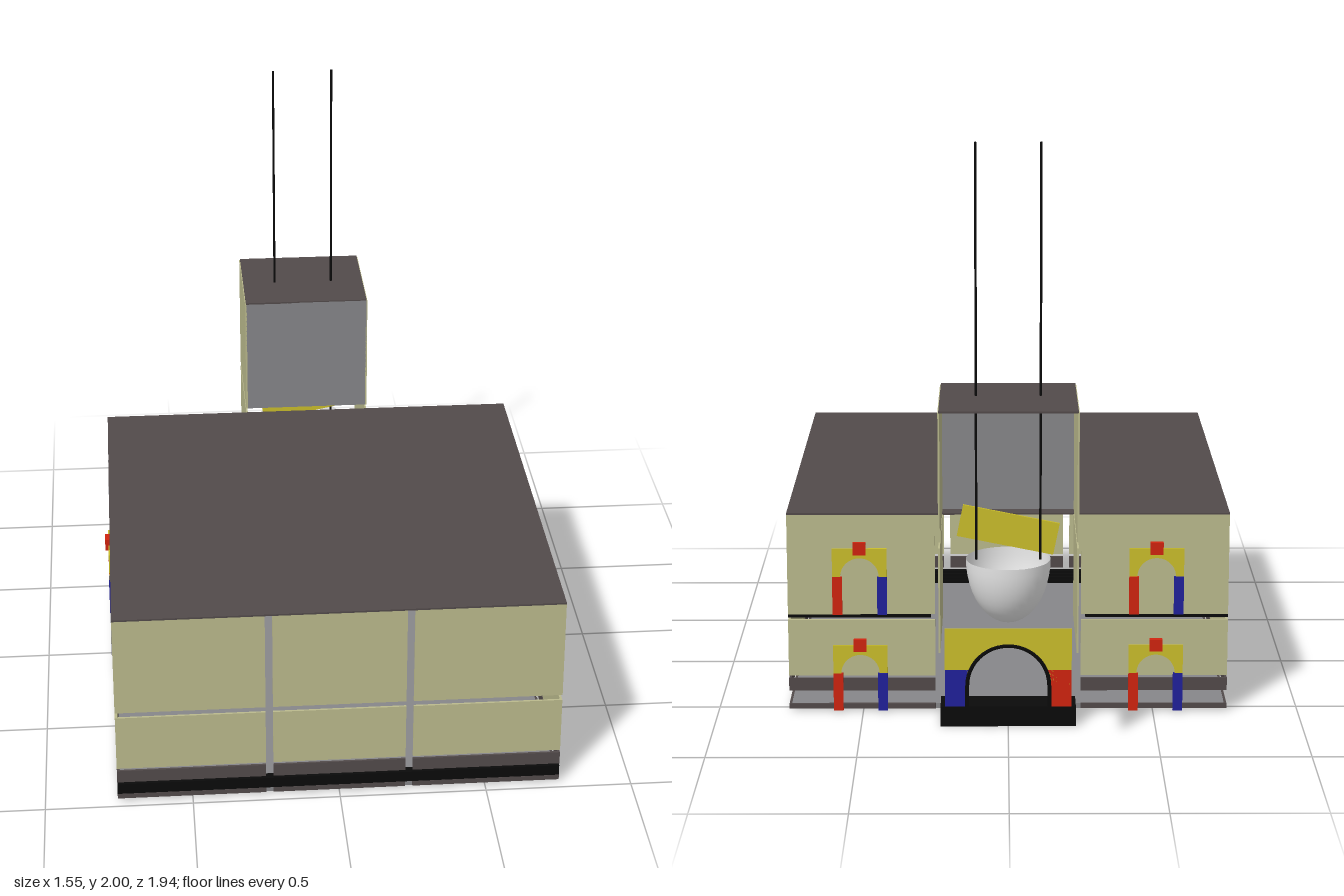
import * as THREE from 'three';

const mat = (name, color, side = THREE.FrontSide) =>
  Object.assign(new THREE.MeshStandardMaterial({ color, side }), { name });

export function createModel() {
  const root = new THREE.Group();
  root.name = 'building';
  const beige = mat('beige wall', 0xbab98c);
  const brown = mat('dark brown roof', 0x524a4a);
  const grey = mat('grey', 0x868689);
  const black = mat('black', 0x0a0a0a);
  const yellow = mat('yellow', 0xc9bd2b, THREE.DoubleSide);
  const red = mat('red', 0xd0240f);
  const blue = mat('blue', 0x20209a);
  const white = mat('white bowl', 0xeeeeee, THREE.DoubleSide);

  const add = (name, geo, material, parent = root) => {
    const m = new THREE.Mesh(geo, material);
    m.name = name;
    parent.add(m);
    return m;
  };
  // Box given by its limits on each axis
  const box = (name, material, x0, x1, y0, y1, z0, z1, parent = root) => {
    const m = add(name, new THREE.BoxGeometry(x1 - x0, y1 - y0, z1 - z0), material, parent);
    m.position.set((x0 + x1) / 2, (y0 + y1) / 2, (z0 + z1) / 2);
    return m;
  };

  const X = 0.755, ZF = 0.968, ZB = -0.545, T = 0.008;
  const xSpans = [[-X, -0.25], [-0.225, 0.225], [0.25, X]];
  const zSpans = [[0.47, ZF], [-0.01, 0.445], [ZB, -0.03]];
  // Horizontal bands that make up every wall
  const bands = [
    ['upperWall', beige, 0.35, 0.703],
    ['lowerWall', beige, 0.13, 0.33],
    ['plinth', brown, 0.075, 0.12],
    ['baseStrip', brown, 0.01, 0.028],
  ];
  for (const [name, m, y0, y1] of bands) {
    xSpans.forEach(([a, b], i) => {
      box(name + 'Front', m, a, b, y0, y1, ZF - T, ZF);
      if (i !== 1) box(name + 'Back', m, a, b, y0, y1, ZB, ZB + T);
    });
    for (const [a, b] of zSpans) {
      box(name + 'Left', m, X - T, X, y0, y1, a, b);
      box(name + 'Right', m, -X, -X + T, y0, y1, a, b);
    }
  }

  // Floor, hatch and roof
  box('floor', grey, -X + T, X - T, 0.008, 0.026, ZB + T, ZF - T);
  box('hatchFrame', beige, -0.24, 0.24, 0.004, 0.008, -0.03, 0.45);
  box('hatch', brown, -0.225, 0.225, 0.001, 0.004, -0.015, 0.435);
  box('roof', brown, -X, X, 0.703, 0.709, ZB, ZF);

  // Black steps behind the front base and at the entrance
  for (let i = 0; i < 4; i++) {
    box('frontStep', black, -X, X, 0.028, 0.066 - i * 0.009, 0.94 - i * 0.014, ZF - 0.001);
    box('entranceStep', black, -0.23, 0.23, 0, 0.07 - i * 0.016, -0.7, -0.59 + i * 0.016);
  }
  box('threshold', black, -0.23, 0.23, 0, 0.012, -0.6, -0.52);

  // Window strips on both side walls
  for (const s of [-1, 1])
    for (const [a, b] of [[0.56, 0.865], [-0.43, -0.125]]) {
      const x = s * (X + 0.001);
      box('window', grey, x - 0.002, x + 0.002, 0.515, 0.585, a, b);
    }

  // Black frames just behind the arched upper panels
  for (const s of [-1, 1]) {
    const xi = s * (X - 0.025);
    box('sideLedge', black, s * X - 0.007, s * X + 0.007, 0.34, 0.35, -0.02, 0.455);
    for (const z of [-0.01, 0.445])
      box('sideFrame', black, xi - 0.015, xi + 0.015, 0.35, 0.7, z - (z < 0 ? 0 : 0.012), z + (z < 0 ? 0.012 : 0));
    const [a, b] = s > 0 ? [0.265, X] : [-X, -0.265];
    box('backLedge', black, a, b, 0.34, 0.35, ZB - 0.004, ZB + 0.09);
    for (const x of [a, b - 0.012])
      box('backFrame', black, x, x + 0.012, 0.35, 0.7, ZB + T, ZB + 0.04);
  }

  // Arch plate with a half-round opening; y = 0 is the springing line
  const archShape = (w, h, r) => {
    const s = new THREE.Shape();
    s.moveTo(-w, 0).lineTo(-r, 0);
    s.absarc(0, 0, r, Math.PI, 0, true);
    s.lineTo(w, 0).lineTo(w, h).lineTo(-w, h).lineTo(-w, 0);
    return s;
  };
  // Small arch facing local +z; blueSide is the local x side of the blue pillar
  const arch = (x, y, z, turn, blueSide) => {
    const g = new THREE.Group();
    g.name = 'arch';
    const pillar = (m, s) =>
      box('pillar', m, Math.min(s * 0.06, s * 0.0935), Math.max(s * 0.06, s * 0.0935), 0, 0.135, 0, 0.009, g);
    pillar(blue, blueSide);
    pillar(red, -blueSide);
    add('archTop', new THREE.ExtrudeGeometry(archShape(0.0935, 0.1, 0.066),
      { depth: 0.007, bevelEnabled: false, curveSegments: 16 }), yellow, g).position.y = 0.135;
    box('keystone', red, -0.022, 0.022, 0.215, 0.258, 0, 0.018, g);
    g.position.set(x, y, z);
    g.rotation.y = turn;
    root.add(g);
  };
  arch(X, 0.35, 0.212, Math.PI / 2, -1);
  arch(-X, 0.35, 0.212, -Math.PI / 2, 1);
  for (const x of [-0.508, 0.508])
    for (const y of [0.005, 0.35]) arch(x, y, ZB, Math.PI, 1);

  // Entrance portal: a thin screen standing on the steps
  const portal = new THREE.Group();
  portal.name = 'portal';
  box('portalPillarBlue', blue, -0.215, -0.135, 0, 0.13, 0, 0.004, portal);
  box('portalPillarRed', red, 0.135, 0.215, 0, 0.13, 0, 0.004, portal);
  add('portalArch', new THREE.ExtrudeGeometry(archShape(0.215, 0.2, 0.145),
    { depth: 0.004, bevelEnabled: false, curveSegments: 20 }), yellow, portal).position.y = 0.075;
  const rim = add('portalRim', new THREE.TorusGeometry(0.14, 0.008, 6, 24, Math.PI), black, portal);
  rim.position.y = 0.075;
  for (const s of [-1, 1])
    box('portalRimPost', black, s * 0.14 - 0.007, s * 0.14 + 0.007, 0, 0.075, -0.004, 0.006, portal);
  portal.position.set(0, 0.07, -0.693);
  portal.rotation.y = Math.PI;
  root.add(portal);

  // Tower, open at the back
  const W = 0.226, ZT = -0.97;
  for (const s of [-1, 1])
    for (const [y0, y1] of [[0.35, 0.705], [0.725, 1.157]])
      box('towerSide', beige, s * W - 0.003, s * W + 0.003, y0, y1, ZT, ZB);
  box('towerFront', grey, -W, W, 0.725, 1.157, ZB - 0.006, ZB);
  box('towerRoof', brown, -W, W, 1.155, 1.161, ZT, ZB);

  // Hanging bowl, its two ropes and the tilted yellow board
  const profile = [];
  for (let i = 0; i <= 12; i++) {
    const a = (i / 12) * Math.PI / 2;
    profile.push(new THREE.Vector2(0.142 * Math.sin(a), -0.22 * Math.cos(a)));
  }
  add('bowl', new THREE.LatheGeometry(profile, 32), white).position.set(0, 0.6, -0.72);
  for (const x of [-0.107, 0.107])
    add('rope', new THREE.CylinderGeometry(0.004, 0.004, 1.4, 8), black).position.set(x, 1.3, -0.735);
  const board = add('tiltedBoard', new THREE.BoxGeometry(0.33, 0.11, 0.01), yellow);
  board.position.set(0, 0.69, -0.685);
  board.rotation.z = 0.2;

  return root;
}
